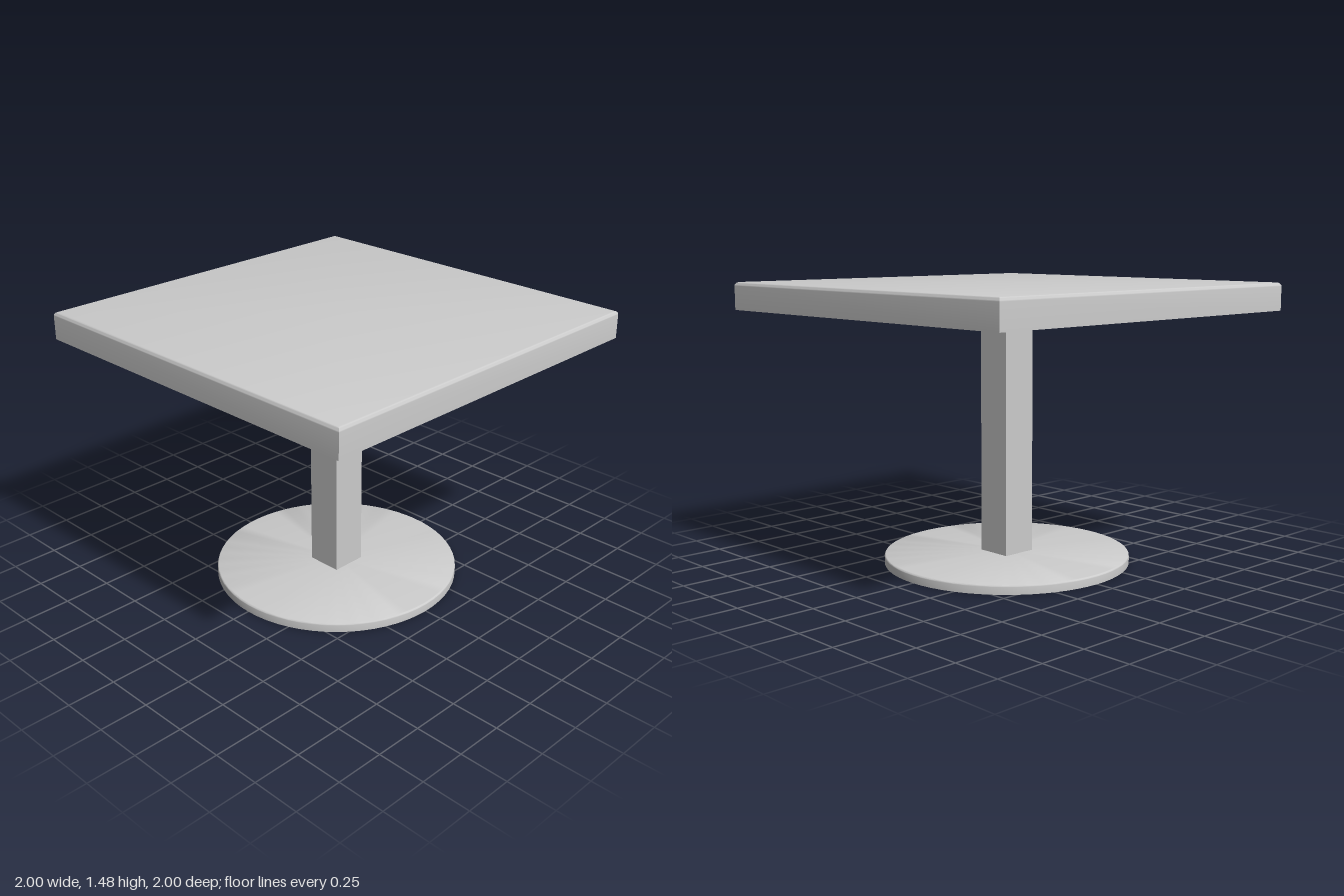
import * as THREE from 'three';
import { toCreasedNormals } from 'three/addons/utils/BufferGeometryUtils.js';

const material = new THREE.MeshStandardMaterial({ color: 0xcccccc });

// Turned solid from a bottom-to-top profile of [radius, height]
function turned(name, profile, sides, phiStart = 0) {
  const points = profile.map(([r, y]) => new THREE.Vector2(r, y));
  const geometry = new THREE.LatheGeometry(points, sides, phiStart);
  const mesh = new THREE.Mesh(toCreasedNormals(geometry, 0.6), material);
  mesh.name = name;
  return mesh;
}

// Quarter-round from a vertical side to a flat top
function roundedEdge(r, top, radius, steps) {
  return Array.from({ length: steps + 1 }, (_, i) => {
    const a = (i / steps) * Math.PI / 2;
    return [r - radius + radius * Math.cos(a), top - radius + radius * Math.sin(a)];
  });
}

export function createModel() {
  const group = new THREE.Group();
  group.name = 'pedestalTable';

  // Square slab with eased upper edges: a four-sided turning, half-width scaled to the corners
  const slab = [[0, 1.33], [1, 1.33], ...roundedEdge(1, 1.475, 0.02, 6), [0, 1.475]];
  group.add(turned('tabletop', slab.map(([r, y]) => [r * Math.SQRT2, y]), 4, Math.PI / 4));

  // Square post
  const post = new THREE.Mesh(new THREE.BoxGeometry(0.19, 1.29, 0.19), material);
  post.name = 'post';
  post.position.y = 0.04 + 1.29 / 2;
  group.add(post);

  // Round foot plate, rising very slightly to the middle
  const plate = [[0, 0], [0.65, 0], ...roundedEdge(0.65, 0.048, 0.01, 4), [0, 0.054]];
  group.add(turned('base', plate, 64));

  return group;
}
